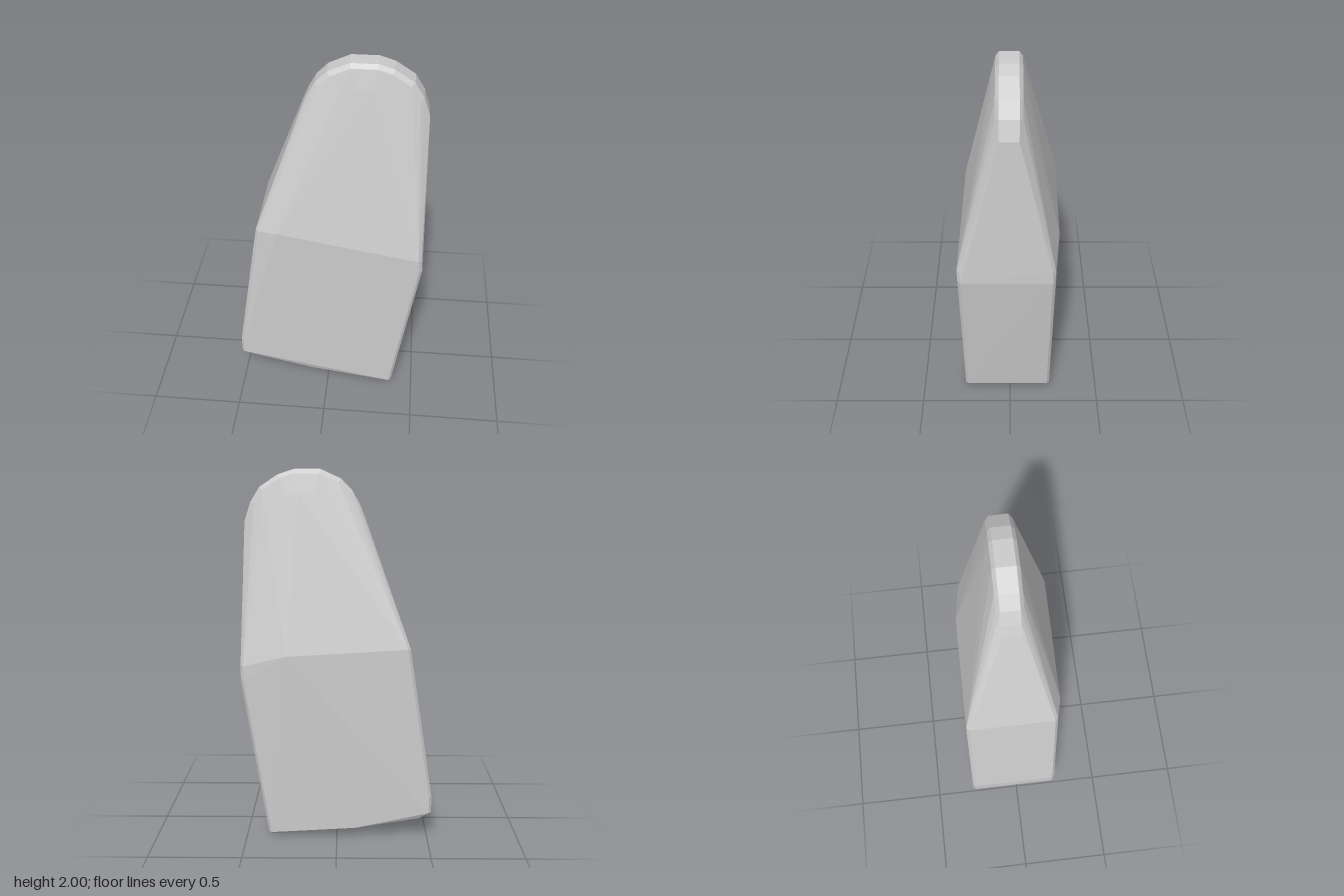
import * as THREE from 'three';
import { ConvexGeometry } from 'three/addons/geometries/ConvexGeometry.js';

export function createModel() {
  const points = [];
  const add = (x, y, z) => points.push(new THREE.Vector3(x, y, z));

  // A corner of the block, softened by a tiny octahedron of radius r
  const corner = (x, y, z, r = 0.015) => {
    for (const s of [-r, r]) {
      add(x + s, y, z);
      add(x, y + s, z);
      add(x, y, z + s);
    }
  };

  // Slanted base: low edge on the left side, raised edge on the right side
  for (const z of [-0.215, 0.245]) corner(0.365, 0.02, z);
  for (const z of [-0.205, 0.24]) add(0.28, 0.005, z);
  for (const z of [-0.255, 0.235]) add(-0.1, 0.06, z);
  for (const z of [-0.26, 0.22]) {
    corner(-0.505, 0.16, z);
    corner(-0.505, 0.25, z);
    add(-0.45, 0.122, z);
  }

  // Shoulder ridge, where the sides begin to taper
  corner(-0.375, 1.08, 0.215);
  corner(-0.375, 1.08, -0.25);
  add(-0.27, 1.09, 0.255);
  add(0.27, 1.04, -0.262);
  corner(0.487, 0.97, 0.26);
  corner(0.499, 0.98, -0.218);
  corner(0.499, 0.9, -0.22);
  corner(0.496, 0.9, 0.257);

  // Rounded crown: the rim outline repeated inwards with growing thickness
  const rim = [
    [-0.15, 1.75], [-0.12, 1.82], [-0.08, 1.89], [-0.02, 1.95], [0.09, 2], [0.23, 2],
    [0.31, 1.975], [0.41, 1.91], [0.46, 1.83], [0.493, 1.73],
  ];
  const layers = [[1, 0.048], [0.93, 0.066], [0.6, 0.09]];
  for (const [scale, depth] of layers) {
    for (const [x, y] of rim) {
      const px = 0.17 + (x - 0.17) * scale;
      const py = 1.7 + (y - 1.7) * scale;
      add(px, py, depth + 0.004);
      add(px, py, -depth + 0.004);
    }
  }

  const body = new THREE.Mesh(
    new ConvexGeometry(points),
    new THREE.MeshStandardMaterial({ color: 0xcccccc, flatShading: true })
  );
  body.name = 'taperedStone';

  const model = new THREE.Group();
  model.name = 'standingStone';
  model.add(body);
  return model;
}
